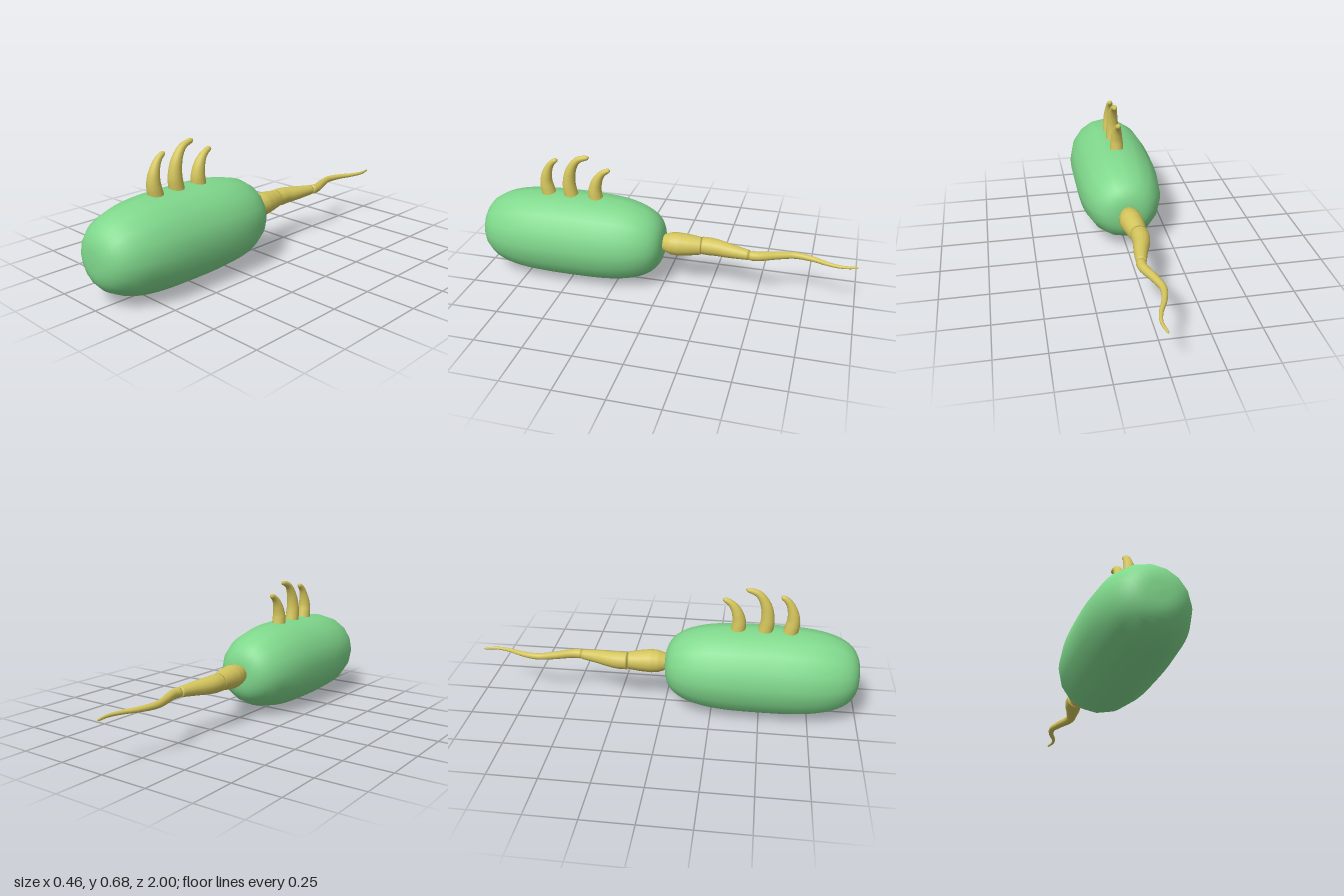
import * as THREE from 'three';
import { mergeVertices } from 'three/addons/utils/BufferGeometryUtils.js';

const green = new THREE.MeshStandardMaterial({ color: 0x80d88c });
const yellow = new THREE.MeshStandardMaterial({ color: 0xd4c55c });
const MID = 0.232; // height of the body's axis

// Piecewise-linear lookup in [[t, value], ...]
function lookup(table, t) {
  for (let i = 1; i < table.length; i++) {
    const [t0, v0] = table[i - 1], [t1, v1] = table[i];
    if (t <= t1) return v0 + (v1 - v0) * (t - t0) / (t1 - t0);
  }
  return table[table.length - 1][1];
}

// Tube along a curve whose radius follows a profile; a zero radius closes an end
function taperedTube(name, points, profile, rows = 32, sides = 14) {
  const curve = new THREE.CatmullRomCurve3(points.map(p => new THREE.Vector3(...p)));
  let geo = new THREE.TubeGeometry(curve, rows, 1, sides);
  const pos = geo.attributes.position, v = new THREE.Vector3();
  for (let i = 0; i <= rows; i++) {
    const centre = curve.getPointAt(i / rows), r = lookup(profile, i / rows);
    for (let j = 0; j <= sides; j++) {
      const k = i * (sides + 1) + j;
      v.fromBufferAttribute(pos, k).sub(centre).multiplyScalar(r).add(centre);
      pos.setXYZ(k, v.x, v.y, v.z);
    }
  }
  geo.deleteAttribute('uv');
  geo.deleteAttribute('normal');
  geo = mergeVertices(geo, 1e-5);
  geo.computeVertexNormals();
  const mesh = new THREE.Mesh(geo, yellow);
  mesh.name = name;
  return mesh;
}

export function createModel() {
  const model = new THREE.Group();
  model.name = 'bacterium';

  // Body: blunt rounded capsule, lathed from a superellipse
  const profile = [];
  for (let i = 0; i <= 32; i++) {
    const a = (i / 32 - 0.5) * Math.PI, s = Math.sin(a), c = Math.max(0, Math.cos(a));
    profile.push(new THREE.Vector2(i % 32 ? MID * c ** (2 / 3) : 0, 0.5 * Math.sign(s) * Math.abs(s) ** (2 / 3)));
  }
  const body = new THREE.Mesh(new THREE.LatheGeometry(profile, 16).rotateX(Math.PI / 2), green);
  body.name = 'body';
  body.position.set(0, MID, 0.5);
  model.add(body);

  // Curved spines along the back, hooked towards the tail: [z, y] paths
  const spines = new THREE.Group();
  spines.name = 'backSpines';
  const spineProfile = [[0, 0.039], [0.25, 0.036], [0.5, 0.029], [0.75, 0.019], [0.94, 0.013], [0.98, 0.009], [1, 0]];
  [
    [[0.63, 0.43], [0.646, 0.52], [0.633, 0.585], [0.61, 0.625], [0.576, 0.65]],
    [[0.505, 0.43], [0.518, 0.52], [0.503, 0.6], [0.465, 0.655], [0.4, 0.678]],
    [[0.37, 0.43], [0.375, 0.5], [0.358, 0.56], [0.33, 0.597], [0.289, 0.62]],
  ].forEach((path, i) => spines.add(
    taperedTube(['frontSpine', 'middleSpine', 'rearSpine'][i], path.map(([z, y]) => [0, y, z]), spineProfile)));
  model.add(spines);

  // Tail: three overlapping tapering segments, waving sideways: [x, z] paths
  const tail = new THREE.Group();
  tail.name = 'tail';
  const segment = (name, path, radii, rows) => tail.add(
    taperedTube(name, path.map(([x, z]) => [x, MID + 0.006, z]), radii, rows));
  segment('tailBase', [[0, 0.03], [0, -0.06], [-0.006, -0.13], [-0.012, -0.205]],
    [[0, 0.03], [0.12, 0.045], [0.28, 0.058], [0.45, 0.062], [0.7, 0.056], [0.97, 0.046], [1, 0]], 32);
  segment('tailMiddle', [[-0.018, -0.19], [-0.014, -0.27], [0.006, -0.36], [0.024, -0.46]],
    [[0, 0], [0.03, 0.046], [0.2, 0.047], [0.5, 0.04], [0.97, 0.026], [1, 0]], 32);
  segment('tailTip', [[0.026, -0.445], [0.024, -0.5], [-0.012, -0.6], [-0.033, -0.68], [-0.018, -0.77],
    [0.014, -0.85], [0.028, -0.92], [0.015, -1]],
    [[0, 0], [0.02, 0.026], [0.2, 0.022], [0.45, 0.017], [0.75, 0.01], [0.98, 0.006], [1, 0]], 56);
  model.add(tail);

  return model;
}
